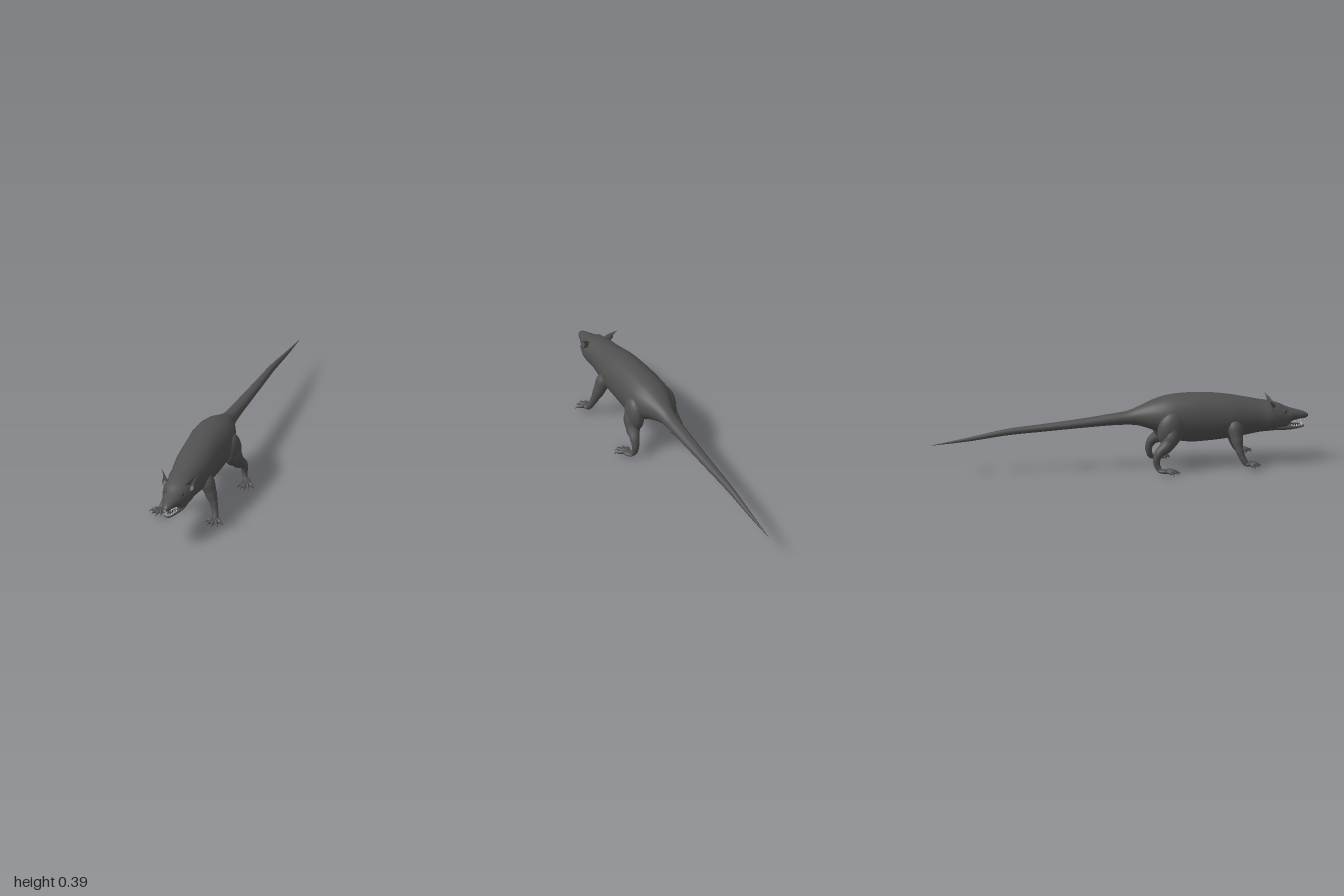
import * as THREE from 'three';

const V = (x, y, z) => new THREE.Vector3(x, y, z);
const fur = new THREE.MeshStandardMaterial({ color: 0x505050, side: THREE.DoubleSide });
const toothMat = new THREE.MeshStandardMaterial({ color: 0xcccccc });
const dark = new THREE.MeshStandardMaterial({ color: 0x333333 });

function add(parent, name, geometry, material = fur) {
  const mesh = new THREE.Mesh(geometry, material);
  mesh.name = name;
  parent.add(mesh);
  return mesh;
}

// Skin of oval sections running towards +z; each row is [z, top, bottom, half width]
function loft(rows, steps = 64, sides = 24) {
  const curve = k => new THREE.CatmullRomCurve3(rows.map(r => V(r[3], r[k], r[0])), false, 'catmullrom', 0.5);
  const top = curve(1), bottom = curve(2), pos = [], index = [];
  for (let i = 0; i <= steps; i++) {
    const a = top.getPoint(i / steps), b = bottom.getPoint(i / steps);
    const cy = (a.y + b.y) / 2, ry = (a.y - b.y) / 2;
    for (let j = 0; j < sides; j++) {
      const t = (j / sides) * Math.PI * 2, c = Math.cos(t);
      pos.push(Math.sign(c) * Math.abs(c) ** 0.92 * Math.max(a.x, 0.0005), cy + ry * Math.sin(t), a.z);
      if (i < steps) {
        const n = (j + 1) % sides, p = i * sides;
        index.push(p + j, p + n, p + sides + j, p + n, p + sides + n, p + sides + j);
      }
    }
  }
  const g = new THREE.BufferGeometry();
  g.setAttribute('position', new THREE.Float32BufferAttribute(pos, 3));
  g.setIndex(index);
  g.computeVertexNormals();
  return g;
}

// Tube of changing thickness; each point is [x, y, z, radius], s mirrors x
function limb(points, s = 1, steps = 18, sides = 12) {
  const curve = new THREE.CatmullRomCurve3(points.map(p => V(p[0] * s, p[1], p[2])));
  const g = new THREE.TubeGeometry(curve, steps, 1, sides);
  const pos = g.attributes.position, v = V(0, 0, 0);
  for (let i = 0; i <= steps; i++) {
    const c = curve.getPointAt(i / steps);
    const t = curve.getUtoTmapping(i / steps) * (points.length - 1);
    const k = Math.min(Math.floor(t), points.length - 2);
    const r = THREE.MathUtils.lerp(points[k][3], points[k + 1][3], THREE.MathUtils.smoothstep(t - k, 0, 1));
    for (let j = 0; j <= sides; j++) {
      const n = i * (sides + 1) + j;
      v.fromBufferAttribute(pos, n).sub(c).multiplyScalar(r).add(c);
      pos.setXYZ(n, v.x, v.y, v.z);
    }
  }
  g.computeVertexNormals();
  return g;
}

function ball(parent, name, [x, y, z], [rx, ry, rz], material = fur) {
  const mesh = add(parent, name, new THREE.SphereGeometry(1, 20, 14), material);
  mesh.position.set(x, y, z);
  mesh.scale.set(rx, ry, rz);
  return mesh;
}

// Paw pad with fanned toes and hooked claws
function foot(parent, name, palm, size, tips, s) {
  const g = new THREE.Group();
  g.name = name;
  parent.add(g);
  const pad = ball(g, 'paw', [palm[0] * s, palm[1], palm[2]], size);
  pad.rotation.y = 0.35 * s;
  for (const [x, y, z] of tips) {
    const at = (k, up, r) => [palm[0] + (x - palm[0]) * k, THREE.MathUtils.lerp(palm[1], y, k) + up, palm[2] + (z - palm[2]) * k, r];
    add(g, 'toe', limb([at(0.1, 0, 0.009), at(0.45, 0.006, 0.01), at(0.68, 0.003, 0.009), at(0.8, 0, 0.001)], s, 8, 8));
    add(g, 'claw', limb([at(0.68, 0.005, 0.005), at(0.86, 0.004, 0.004), at(1, -0.007, 0.0004)], s, 6, 6));
  }
}

// Dished ear stretched between its inner and outer edge
function earGeometry(s) {
  const inner = new THREE.CatmullRomCurve3([V(.038, .308, 0), V(.06, .33, 0), V(.08, .348, 0), V(.103, .362, 0)]);
  const outer = new THREE.CatmullRomCurve3([V(.062, .283, 0), V(.088, .293, 0), V(.086, .328, 0), V(.103, .362, 0)]);
  const g = new THREE.PlaneGeometry(1, 1, 8, 12), pos = g.attributes.position;
  for (let i = 0; i < pos.count; i++) {
    const v = pos.getX(i) + 0.5, u = pos.getY(i) + 0.5;
    const p = inner.getPoint(u).lerp(outer.getPoint(u), v);
    pos.setXYZ(i, p.x * s, p.y, 0.83 - 0.048 * u - 0.022 * Math.sin(Math.PI * v) * (1 - u));
  }
  g.computeVertexNormals();
  return g;
}

export function createModel() {
  const model = new THREE.Group();

  // Tail, trunk, head and upper snout in one skin
  add(model, 'body', loft([
    [-1, .17, .168, .001], [-.8, .205, .184, .01], [-.6, .242, .208, .017], [-.4, .261, .221, .024],
    [-.2, .281, .233, .031], [-.05, .3, .24, .036], [.04, .313, .24, .041], [.1, .335, .233, .054],
    [.18, .368, .205, .09], [.26, .389, .16, .113], [.36, .397, .138, .114], [.47, .394, .14, .109],
    [.58, .38, .15, .105], [.67, .362, .163, .091], [.74, .347, .174, .082], [.8, .335, .178, .083],
    [.845, .321, .181, .073], [.88, .304, .188, .06], [.905, .294, .22, .05], [.95, .281, .233, .032],
    [.982, .27, .236, .02], [1, .256, .246, .006],
  ], 110));

  // Lower jaw and tongue
  add(model, 'lowerJaw', loft([
    [.82, .222, .181, .06], [.87, .217, .18, .054], [.91, .208, .181, .041],
    [.945, .203, .184, .028], [.968, .203, .188, .018], [.978, .199, .193, .004],
  ], 24));
  ball(model, 'tongue', [0, .206, .915], [.018, .006, .04], dark);

  // Nose
  ball(model, 'nose', [0, .253, .988], [.011, .009, .011]);
  for (const s of [-1, 1]) ball(model, 'nostril', [.006 * s, .252, .996], [.003, .003, .003], dark);

  // Teeth: front incisors and rows along both jaws
  const tooth = (name, x, y, z, h, dir) => {
    const t = add(model, name, new THREE.ConeGeometry(.0045, h, 8), toothMat);
    t.position.set(x, y + dir * h / 2, z);
    if (dir < 0) t.rotation.x = Math.PI;
  };
  for (const s of [-1, 1]) {
    tooth('upperIncisor', .005 * s, .24, .984, .022, -1);
    tooth('lowerIncisor', .005 * s, .199, .968, .018, 1);
    for (let i = 0; i < 5; i++) {
      const z = .972 - i * .013;
      tooth('upperTooth', s * (.016 + i * .005), .24 - i * .002, z, i === 1 ? .024 : .016, -1);
      tooth('lowerTooth', s * (.013 + i * .0045), .199 + i * .001, z - .01, i === 0 ? .02 : .014, 1);
    }
  }

  for (const s of [-1, 1]) {
    const side = s > 0 ? 'left' : 'right';

    // Ear, eye and brow
    add(model, side + 'Ear', earGeometry(s));
    ball(model, side + 'Eye', [.047 * s, .283, .872], [.009, .008, .01], dark);
    add(model, side + 'Brow', limb([[.054, .287, .85, .002], [.047, .293, .87, .006], [.036, .291, .892, .002]], s, 10, 8));

    // Foreleg
    add(model, side + 'Foreleg', limb([
      [.062, .27, .59, .03], [.086, .215, .6, .041], [.108, .16, .606, .032], [.128, .11, .616, .022],
      [.141, .07, .63, .017], [.15, .042, .648, .016], [.154, .036, .668, .006],
    ], s, 24));
    foot(model, side + 'Forefoot', [.15, .038, .658], [.021, .012, .026], [
      [.108, .03, .69], [.13, .03, .717], [.157, .03, .727], [.184, .03, .714], [.208, .03, .688],
    ], s);

    // Hind leg with broad thigh
    const thigh = ball(model, side + 'Thigh', [.097 * s, .225, .255], [.045, .094, .07]);
    thigh.rotation.x = .2;
    add(model, side + 'HindLeg', limb([
      [.095, .25, .27, .04], [.108, .19, .258, .045], [.119, .145, .23, .036], [.13, .116, .193, .026],
      [.135, .082, .175, .02], [.137, .045, .177, .016], [.145, .023, .19, .014], [.16, .02, .212, .006],
    ], s, 28));
    foot(model, side + 'HindFoot', [.158, .019, .21], [.023, .012, .036], [
      [.13, .011, .272], [.153, .011, .29], [.177, .011, .295], [.2, .011, .281], [.22, .011, .255],
    ], s);
  }
  return model;
}
